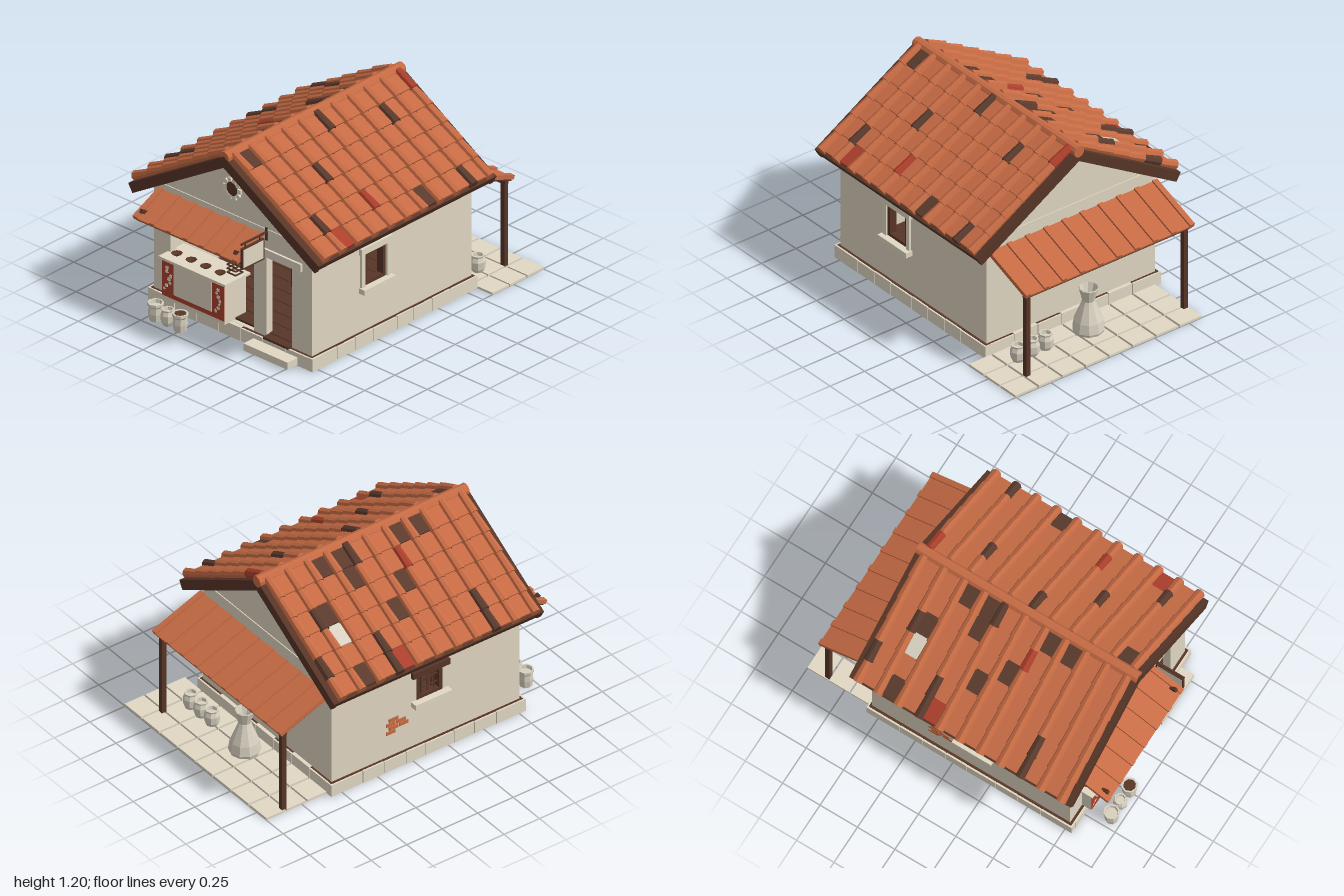
import * as THREE from 'three';

const mat = (name, color) => Object.assign(new THREE.MeshStandardMaterial({ color }), { name });

export function createModel() {
  const plaster = mat('plaster', 0xe0d6c1), stone = mat('stone', 0xe1d8c4);
  const terracotta = mat('terracotta', 0xc66b44), burnt = mat('burnt tile', 0x5a3a2d);
  const red = mat('red paint', 0xac3f2c), wood = mat('dark wood', 0x573527);
  const clay = mat('pale clay', 0xd8d1c0);
  const root = new THREE.Group();
  root.name = 'tavern';
  let seed = 7;
  const rnd = () => (seed = (seed * 16807) % 2147483647) / 2147483647;

  const group = (parent, name, x = 0, y = 0, z = 0, ry = 0) => {
    const g = new THREE.Group();
    g.name = name;
    g.position.set(x, y, z);
    g.rotation.y = ry;
    parent.add(g);
    return g;
  };
  const add = (parent, name, geo, m, x = 0, y = 0, z = 0) => {
    const mesh = new THREE.Mesh(geo, m);
    mesh.name = name;
    mesh.position.set(x, y, z);
    parent.add(mesh);
    return mesh;
  };
  const box = (parent, name, m, w, h, d, x, y, z) => add(parent, name, new THREE.BoxGeometry(w, h, d), m, x, y, z);
  const faceted = geo => {
    const g = geo.toNonIndexed();
    g.computeVertexNormals();
    return g;
  };
  const lathe = (pts, n = 8) => faceted(new THREE.LatheGeometry(pts.map(p => new THREE.Vector2(...p)), n));

  // Walls with openings
  const wall = (pts, holes) => {
    const shape = new THREE.Shape(pts.map(p => new THREE.Vector2(...p)));
    for (const [a, b, c, d] of holes)
      shape.holes.push(new THREE.Path([[a, b], [a, d], [c, d], [c, b]].map(p => new THREE.Vector2(...p))));
    return new THREE.ExtrudeGeometry(shape, { depth: 0.05, bevelEnabled: false });
  };
  const gable = [[-0.61, 0.08], [0.61, 0.08], [0.61, 0.765], [0, 1.125], [-0.61, 0.765]];
  const side = [[-0.505, 0.08], [0.72, 0.08], [0.72, 0.765], [-0.505, 0.765]];
  add(root, 'frontWall', wall(gable, [[-0.485, 0.086, 0.16, 0.62], [0.26, 0.086, 0.455, 0.6]]), plaster, 0, 0, 0.72);
  add(root, 'backWall', wall(gable, [[0.07, 0.4, 0.25, 0.56]]), plaster, 0, 0, -0.555);
  for (const [name, x, hole] of [['leftWall', 0.61, [0.165, 0.367, 0.335, 0.58]], ['rightWall', -0.56, [0.05, 0.4, 0.22, 0.56]]])
    add(root, name, wall(side, [hole]).rotateY(-Math.PI / 2), plaster, x);
  for (const z of [0.772, -0.557]) box(root, 'gableBand', plaster, 1.1, 0.012, 0.008, 0, 0.77, z);
  box(root, 'doorLintel', stone, 0.36, 0.05, 0.02, 0.355, 0.625, 0.775);

  // Raised floor slab with planks, inside a ring of plinth stones
  box(root, 'floorSlab', wood, 1.25, 0.012, 1.352, 0, 0.077, 0.109);
  for (let i = 0; i < 12; i++) box(root, 'floorPlank', wood, 1.12, 0.016, 0.1, 0, 0.091, -0.45 + i * 0.104);
  const sideCuts = [-0.578, -0.353, -0.203, -0.048, 0.091, 0.289, 0.433, 0.588, 0.797];
  for (const s of [-1, 1]) {
    for (let i = 0; i < 8; i++)
      box(root, 'plinthStone', stone, 0.04, 0.079 + 0.004 * (i % 2), sideCuts[i + 1] - sideCuts[i] - 0.004,
        s * 0.616, 0.041, (sideCuts[i] + sideCuts[i + 1]) / 2);
    for (let i = 0; i < 7; i++)
      box(root, 'plinthStone', stone, 0.167, 0.08 + 0.005 * (i % 2), 0.04, -0.513 + i * 0.171, 0.042, s > 0 ? 0.777 : -0.558);
  }
  box(root, 'doorStep', stone, 0.34, 0.045, 0.085, 0.355, 0.033, 0.84);
  box(root, 'doorSill', wood, 0.195, 0.014, 0.06, 0.357, 0.088, 0.772);

  // Round gable window
  const rose = group(root, 'gableRosette', 0, 0.94, 0.772);
  add(rose, 'disc', new THREE.CylinderGeometry(0.045, 0.045, 0.016, 16).rotateX(Math.PI / 2), wood);
  for (let i = 0; i < 10; i++) {
    const a = i * Math.PI / 5;
    box(rose, 'ringStone', stone, 0.028, 0.028, 0.022, Math.cos(a) * 0.056, Math.sin(a) * 0.056, 0).rotation.z = a;
  }

  // Windows: frame, optional grille, lintel and sill
  const makeWindow = (name, x, y, z, ry, h, lintelMat, grille) => {
    const g = group(root, name, x, y, z, ry), w = 0.18;
    for (const s of [-1, 1]) {
      box(g, 'jamb', wood, 0.023, h, 0.045, s * (w / 2 - 0.0115), 0, -0.02);
      box(g, 'rail', wood, w, 0.02, 0.045, 0, s * (h / 2 - 0.01), -0.02);
      if (grille) box(g, 'crossBar', wood, w, 0.008, 0.008, 0, s * 0.028, -0.02);
      else box(g, 'stoneJamb', stone, 0.03, h, 0.03, s * (w / 2 + 0.015), 0, 0);
    }
    if (grille) for (const bx of [-0.045, 0, 0.045]) box(g, 'bar', wood, 0.008, h, 0.008, bx, 0, -0.02);
    box(g, 'lintel', lintelMat, 0.26, 0.04, 0.045, 0, h / 2 + 0.02, 0);
    box(g, 'sill', stone, 0.26, 0.033, 0.07, 0, -h / 2 - 0.015, 0.01);
  };
  makeWindow('leftWindow', 0.61, 0.473, 0.25, Math.PI / 2, 0.215, stone, false);
  makeWindow('rightWindow', -0.61, 0.48, 0.135, -Math.PI / 2, 0.17, wood, true);
  makeWindow('backWindow', 0.16, 0.48, -0.555, Math.PI, 0.17, wood, true);
  for (let r = 0; r < 4; r++) for (let i = 0; i < (r % 3 ? 2 : 1); i++)
    box(root, 'exposedBrick', terracotta, 0.012, 0.022, 0.065, -0.61, 0.25 + r * 0.028, -0.14 + i * 0.072 + (r % 2) * 0.02);

  // Main roof: deck, bargeboards, pan and cover tiles
  const ANGLE = 0.538, PITCH = 0.137, LENGTH = 0.857;
  const cover = faceted(new THREE.CylinderGeometry(0.031, 0.025, 0.148, 8).rotateZ(-Math.PI / 2));
  const pan = new THREE.BoxGeometry(0.148, 0.018, 0.128);
  // Odd tiles keyed by kind, slope, row and course
  const odd = {};
  const mark = (m, keys) => keys.split(' ').forEach(k => { odd[k] = m; });
  mark(burnt, 'pL15 pL12 pL20 pL30 pL31 pL43 pL52 pL60 pL70 pR90 pR35 cL04 cL12 cL35 cL34 cL40 cL85 cL84 cR15 cR21 cR50 cR72 cR94');
  mark(red, 'pL35 pR85 cL61 cR00 cR64');
  mark(clay, 'pL13');
  for (const s of [-1, 1]) {
    const turn = group(root, s > 0 ? 'leftRoof' : 'rightRoof', 0, 1.175, 0, s > 0 ? 0 : Math.PI);
    const slope = group(turn, 'slope');
    slope.rotation.z = -ANGLE;
    const key = s > 0 ? 'R' : 'L';
    box(slope, 'deck', wood, LENGTH, 0.045, 1.44, LENGTH / 2, -0.0225, s * 0.11);
    for (const z of [0.835, -0.615]) box(slope, 'bargeboard', wood, LENGTH, 0.062, 0.03, LENGTH / 2, -0.031, s * z);
    for (let k = 0; k < 11; k++) {
      const z = -0.572 + k * 0.136;
      if (k && k < 10) box(slope, 'rafterTail', wood, 0.13, 0.04, 0.025, 0.755, -0.06, s * z);
      for (let j = 0; j < 6; j++) {
        const c = add(slope, 'coverTile', cover, odd['c' + key + k + j] || terracotta, 0.09 + j * PITCH, 0.017, s * z);
        c.rotation.z = 0.05;
        if (k < 10) {
          const p = add(slope, 'panTile', pan, odd['p' + key + k + j] || terracotta, 0.08 + j * PITCH, 0.011, s * (z + 0.068));
          p.rotation.z = 0.08;
        }
      }
    }
  }
  add(root, 'ridgeCap', faceted(new THREE.CylinderGeometry(0.037, 0.037, 1.475, 10).rotateX(Math.PI / 2)), terracotta, 0, 1.165, 0.107);

  // Lean-to roofs: flat tiles with raised ribs
  const leanTo = (name, width, ribs, len, angle, x, y, z, ry) => {
    const g = group(group(root, name, x, y, z, ry), 'slope');
    g.rotation.x = angle;
    box(g, 'boards', wood, width - 0.02, 0.012, len - 0.01, 0, -0.012, len / 2);
    box(g, 'tiles', terracotta, width, 0.014, len, 0, 0.001, len / 2);
    for (let i = 0; i < ribs; i++)
      box(g, 'rib', terracotta, 0.034, 0.018, len, -width / 2 + 0.017 + i * (width - 0.034) / (ribs - 1), 0.012, len / 2);
  };
  leanTo('awning', 0.805, 7, 0.242, 0.427, -0.163, 0.73, 0.77, 0);
  leanTo('porchRoof', 1.22, 10, 0.368, 0.365, 0, 0.696, -0.565, Math.PI);
  for (const x of [-0.525, 0.2]) box(root, 'awningStrut', wood, 0.02, 0.024, 0.233, x, 0.62, 0.87).rotation.x = -0.54;
  box(root, 'counterBeam', wood, 0.66, 0.018, 0.02, -0.163, 0.622, 0.775);
  box(root, 'porchBeam', wood, 1.18, 0.03, 0.03, 0, 0.552, -0.87);
  for (const s of [-1, 1]) box(root, 'porchPost', wood, 0.03, 0.54, 0.03, s * 0.57, 0.28, -0.87);

  // Paved patio
  for (let i = 0; i < 8; i++) for (let j = 0; j < 3; j++)
    box(root, 'paver', stone, 0.156, 0.014, 0.134, -0.513 + i * 0.17, 0.007, -0.933 + j * 0.145);

  // Vessels
  const roundPot = lathe([[0, 0], [0.03, 0], [0.044, 0.03], [0.047, 0.075], [0.037, 0.1], [0.04, 0.112], [0.03, 0.112], [0.027, 0.09], [0, 0.09]]);
  const flaredPot = lathe([[0, 0], [0.037, 0], [0.043, 0.045], [0.041, 0.085], [0.048, 0.095], [0.048, 0.112], [0.038, 0.112], [0.034, 0.09], [0, 0.09]]);
  const bigJar = lathe([[0, 0], [0.085, 0], [0.095, 0.03], [0.085, 0.09], [0.045, 0.19], [0.036, 0.215], [0.058, 0.295], [0.055, 0.3], [0.03, 0.225], [0, 0.225]], 10);
  const amphora = lathe([[0, 0], [0.015, 0], [0.034, 0.06], [0.035, 0.1], [0.017, 0.14], [0.016, 0.16], [0.026, 0.175], [0, 0.175]]);
  const bowl = lathe([[0, 0], [0.012, 0], [0.034, 0.016], [0.03, 0.016], [0, 0.006]]);
  for (const x of [-0.44, -0.25]) add(root, 'frontPot', flaredPot, clay, x, 0.003, 0.94);
  add(root, 'frontPot', roundPot, clay, -0.345, 0.003, 0.94).scale.setScalar(0.92);
  add(root, 'potFilling', new THREE.CylinderGeometry(0.036, 0.036, 0.008, 8), wood, -0.25, 0.108, 0.94);
  for (const x of [0.31, 0.41, 0.51]) add(root, 'patioPot', roundPot, clay, x, 0.005, -0.715);
  add(root, 'patioJar', bigJar, clay, 0, 0, -0.715);
  for (const x of [0.39, 0.465]) {
    add(root, 'amphora', amphora, terracotta, x, 0.098, -0.4);
    for (const s of [-1, 1])
      add(root, 'amphoraHandle', new THREE.TorusGeometry(0.012, 0.003, 4, 8), terracotta, x + s * 0.016, 0.238, -0.4);
  }

  // Serving counter with a painted front
  const counter = group(root, 'counter', -0.245, 0, 0.745);
  box(counter, 'body', plaster, 0.48, 0.255, 0.18, 0, 0.2125, 0);
  box(counter, 'top', stone, 0.515, 0.016, 0.21, 0, 0.345, 0);
  box(counter, 'paintedFront', red, 0.48, 0.23, 0.006, 0, 0.222, 0.09);
  box(counter, 'frontPanel', plaster, 0.295, 0.2, 0.006, -0.003, 0.237, 0.093);
  const chip = faceted(new THREE.CylinderGeometry(0.015, 0.015, 0.006, 5).rotateX(Math.PI / 2));
  for (let i = 0; i < 14; i++) {
    const inlay = add(counter, 'inlay', chip, stone, (i % 2 ? 0.19 : -0.197) + (rnd() - 0.5) * 0.055, 0.155 + (i >> 1) * 0.023, 0.092);
    inlay.rotation.z = rnd() * 3;
    inlay.scale.setScalar(0.6 + rnd() * 0.4);
  }
  for (let i = 0; i < 4; i++) add(counter, 'bowl', bowl, wood, -0.185 + i * 0.112, 0.353, 0.03);
  for (const y of [0.36, 0.385, 0.41]) for (const s of [-1, 1]) {
    box(counter, 'crateSlat', wood, 0.07, 0.008, 0.006, 0.2, y, s * 0.03 - 0.04);
    box(counter, 'crateSlat', wood, 0.006, 0.008, 0.06, 0.2 + s * 0.033, y, -0.04);
  }

  // Shelves with jars
  const shelves = group(root, 'shelves', -0.245, 0, 0.21);
  for (const s of [-1, 1]) box(shelves, 'post', wood, 0.014, 0.45, 0.016, s * 0.228, 0.315, 0.045);
  for (const y of [0.385, 0.515]) {
    box(shelves, 'shelf', wood, 0.46, 0.014, 0.1, 0, y, 0);
    for (let i = 0; i < 4; i++)
      add(shelves, 'jar', i % 2 ? roundPot : flaredPot, clay, -0.155 + i * 0.1, y + 0.007, 0).scale.set(0.63, 0.7, 0.63);
  }
  box(root, 'wallShelf', wood, 0.24, 0.014, 0.1, 0.08, 0.265, -0.45);
  add(root, 'shelfBowl', bowl, wood, 0.03, 0.272, -0.45);

  // Hanging strings of food
  for (const x of [-0.4, -0.235, 0.065]) for (let i = 0; i < 5; i++)
    add(root, 'hangingString', new THREE.IcosahedronGeometry(0.013, 0), terracotta, x + (i % 2 ? 0.006 : -0.006), 0.6 - i * 0.018, 0.785);

  // Hanging sign
  const sign = group(root, 'hangingSign', 0.262, 0, 0.89);
  box(sign, 'board', stone, 0.012, 0.125, 0.17, 0, 0.662, 0);
  for (const s of [-1, 1]) {
    box(sign, 'frameRail', wood, 0.016, 0.008, 0.18, 0, 0.662 + s * 0.063, 0);
    box(sign, 'hanger', wood, 0.006, 0.03, 0.006, 0, 0.742, s * 0.06);
    box(sign, 'frameStile', wood, 0.016, 0.13, 0.008, 0, 0.662, s * 0.088);
  }
  box(sign, 'arm', wood, 0.01, 0.01, 0.22, 0, 0.757, -0.015);
  box(sign, 'wallPlate', wood, 0.018, 0.08, 0.012, 0, 0.745, -0.118);
  return root;
}
